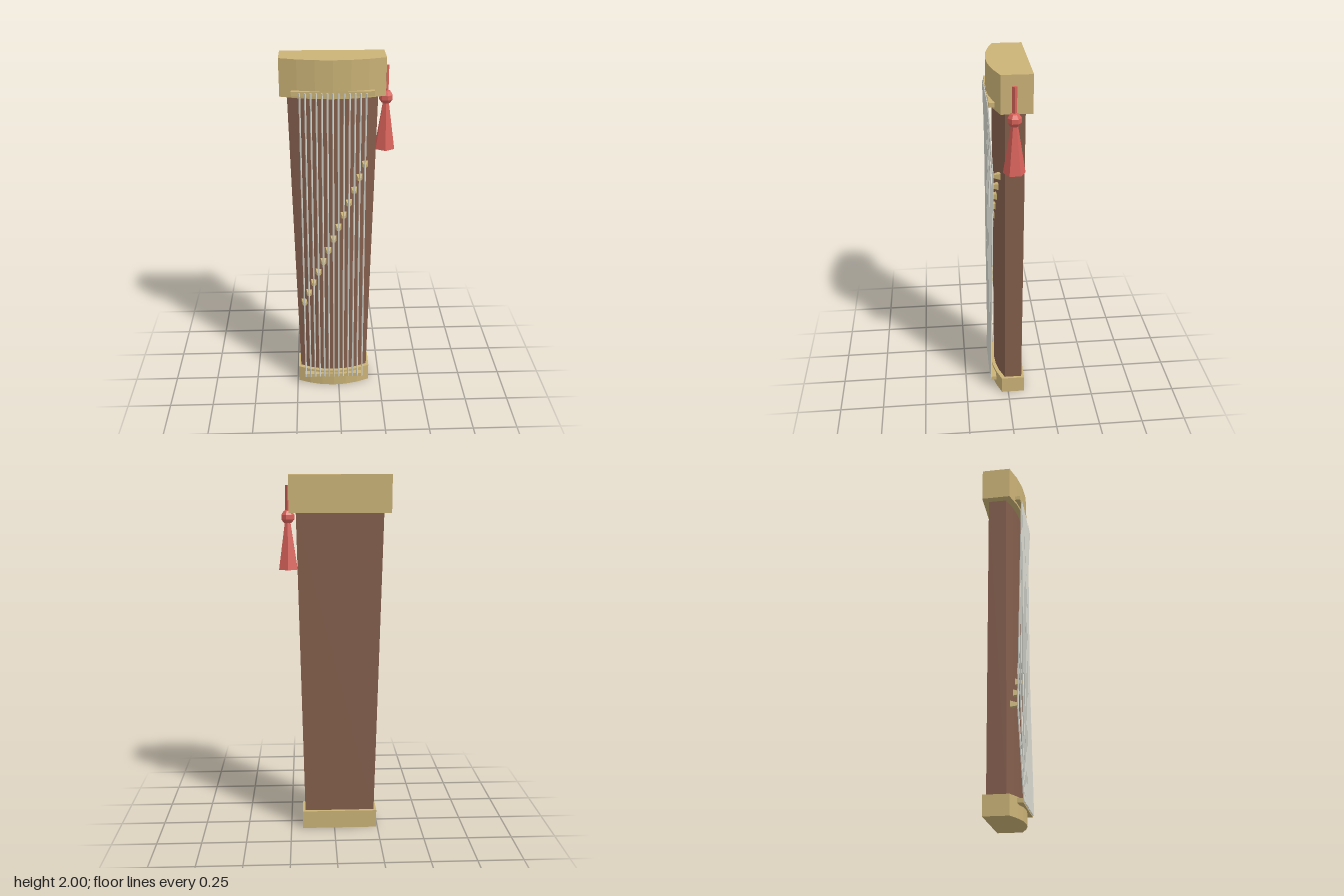
import * as THREE from 'three';

const material = (color) => new THREE.MeshStandardMaterial({ color, flatShading: true });
const gold = material(0xcbb377);
const wood = material(0x855f4d);
const silver = material(0xd4d4cc);
const red = material(0xd8625a);
const CX = -0.03; // centre line of the instrument
const STRINGS = 13;

// Height of a shallow arched front at t in -1..1 across the width
const arch = (t, edge, crown) => edge + (crown - edge) * (1 - t * t);
const lerp = THREE.MathUtils.lerp;

// Vertical block with a flat back and arched front; width goes from w0 to w1
function archedBlock(w0, w1, y0, y1, back, edge, crown) {
  const shape = new THREE.Shape();
  shape.moveTo(-1, -back);
  for (let i = 0; i <= 6; i++) {
    const t = -1 + i / 3;
    shape.lineTo(t, -arch(t, edge, crown));
  }
  shape.lineTo(1, -back);
  const geo = new THREE.ExtrudeGeometry(shape, { depth: y1 - y0, bevelEnabled: false });
  geo.rotateX(-Math.PI / 2).translate(0, y0, 0);
  const p = geo.attributes.position;
  for (let i = 0; i < p.count; i++) {
    const k = (p.getY(i) - y0) / (y1 - y0);
    p.setX(i, CX + p.getX(i) * lerp(w0, w1, k));
  }
  geo.computeVertexNormals();
  return geo;
}

// Thin rod between two points
function rod(a, b, r, sides) {
  const dir = b.clone().sub(a);
  const geo = new THREE.CylinderGeometry(r, r, dir.length(), sides);
  geo.applyQuaternion(new THREE.Quaternion().setFromUnitVectors(new THREE.Vector3(0, 1, 0), dir.normalize()));
  const mid = a.clone().add(b).multiplyScalar(0.5);
  return geo.translate(mid.x, mid.y, mid.z);
}

export function createModel() {
  const model = new THREE.Group();
  const add = (name, geo, mat, parent = model) => {
    const mesh = new THREE.Mesh(geo, mat);
    mesh.name = name;
    parent.add(mesh);
    return mesh;
  };
  const group = (name) => {
    const g = new THREE.Group();
    g.name = name;
    model.add(g);
    return g;
  };

  // Tapered soundboard body and its two end caps
  add('body', archedBlock(0.198, 0.233, 0.1, 1.81, -0.08, 0.02, 0.07), wood);
  add('headCap', archedBlock(0.27, 0.27, 1.805, 2, -0.112, 0.046, 0.1), gold);
  add('footCap', archedBlock(0.213, 0.213, 0, 0.105, -0.096, 0.038, 0.09), gold);

  // Fixed nuts that hold the string ends
  add('headNut', new THREE.BoxGeometry(0.42, 0.024, 0.03).translate(CX, 1.832, 0.084), gold);
  add('footNut', new THREE.BoxGeometry(0.35, 0.022, 0.03).translate(CX, 0.08, 0.084), gold);

  // Strings, each bent over its own movable bridge on a diagonal
  const strings = group('strings');
  const bridges = group('bridges');
  for (let i = 0; i < STRINGS; i++) {
    const k = i / (STRINGS - 1);
    const x = CX + lerp(-0.168, 0.168, k);
    const y = lerp(0.575, 1.435, k);
    const halfWidth = lerp(0.198, 0.233, (y - 0.1) / 1.7);
    const base = arch((x - CX) / halfWidth, 0.02, 0.07);

    const bridge = new THREE.CylinderGeometry(0.012, 0.024, 0.036, 4);
    bridge.rotateY(Math.PI / 4).rotateX(Math.PI / 2).translate(x, y, base + 0.016);
    add('bridge', bridge, gold, bridges);

    const top = new THREE.Vector3(x, 1.835, 0.102);
    const rest = new THREE.Vector3(x, y, base + 0.036);
    const bottom = new THREE.Vector3(x, 0.075, 0.102);
    add('upperString', rod(rest, top, 0.005, 5), silver, strings);
    add('lowerString', rod(bottom, rest, 0.005, 5), silver, strings);
  }

  // Tassel hanging on the left side of the head
  const tassel = group('tassel');
  tassel.position.set(0.247, 0, -0.021);
  add('cord', new THREE.CylinderGeometry(0.012, 0.012, 0.15, 4).translate(0, 1.87, 0), red, tassel);
  add('knot', new THREE.SphereGeometry(0.038, 7, 5).translate(0, 1.78, 0), red, tassel);
  add('skirt', new THREE.CylinderGeometry(0.017, 0.057, 0.25, 6).translate(0, 1.627, 0), red, tassel);

  return model;
}
